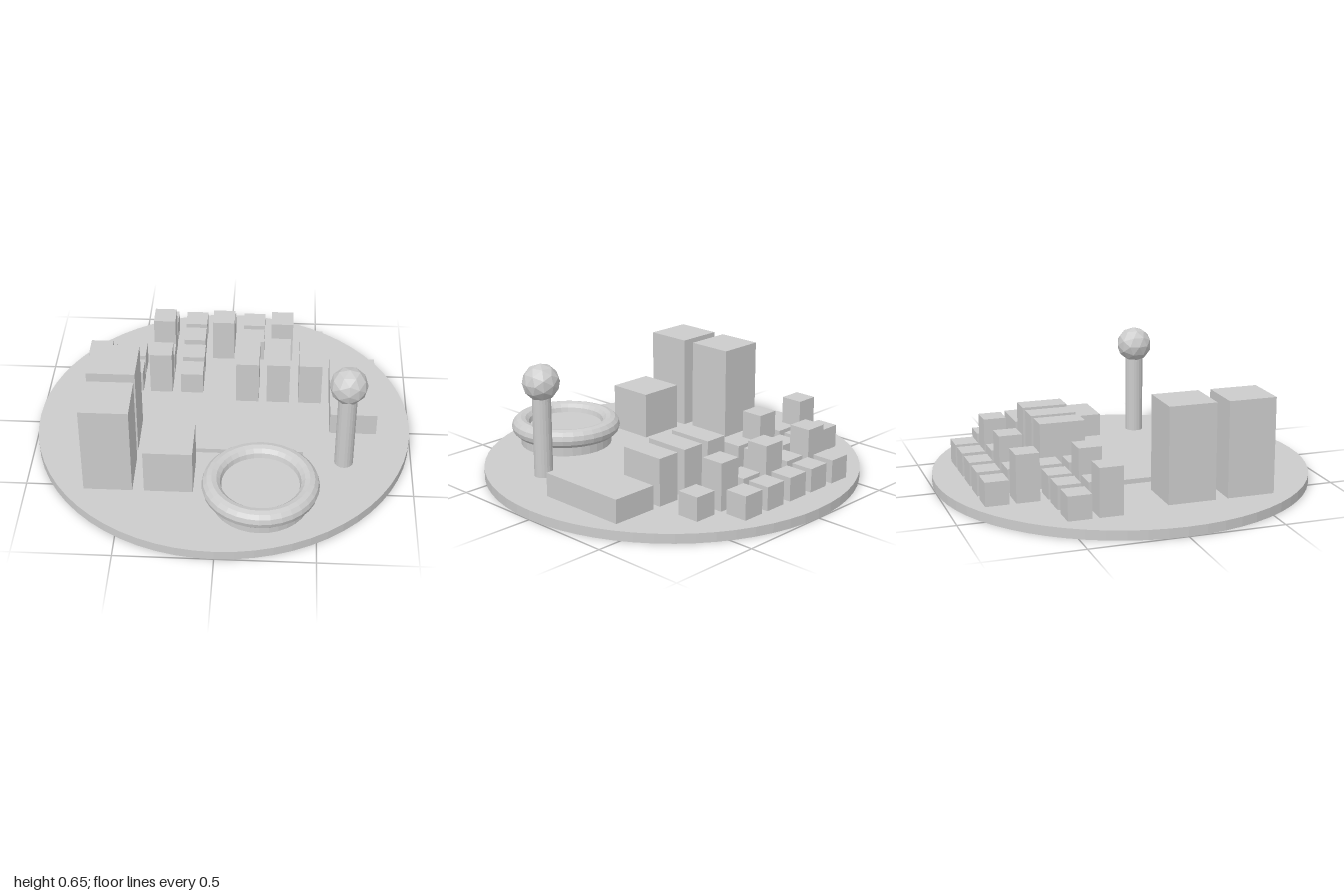
import * as THREE from 'three';

const GROUND = 0.05; // top of the base plate

export function createModel() {
  const city = new THREE.Group();
  city.name = 'cityModel';
  const material = new THREE.MeshStandardMaterial({ color: 0xcccccc, flatShading: true });

  function add(name, geometry, x, y, z) {
    const mesh = new THREE.Mesh(geometry, material);
    mesh.name = name;
    mesh.position.set(x, y, z);
    city.add(mesh);
    return mesh;
  }

  // Block standing on the plate, centred on x and z, reaching up to top
  function block(name, x, z, width, depth, top) {
    const height = top - GROUND;
    add(name, new THREE.BoxGeometry(width, height, depth), x, GROUND + height / 2, z);
  }

  // Round base plate
  add('basePlate', new THREE.CylinderGeometry(1, 1, GROUND, 64), 0, GROUND / 2, 0);

  // Large towers and the lower block beside them
  block('tower', -0.565, 0.14, 0.25, 0.25, 0.55);
  block('tower', -0.565, 0.455, 0.25, 0.25, 0.55);
  block('lowTower', -0.255, 0.455, 0.25, 0.25, 0.3);

  // Flat plaza and long hall
  block('plaza', 0.055, 0.08, 0.75, 0.375, 0.075);
  block('hall', 0.695, -0.177, 0.25, 0.5, 0.175);

  // Three slabs in a row
  for (const x of [0.12, 0.288, 0.463]) block('slabBuilding', x, -0.302, 0.125, 0.25, 0.3);

  // Rows of small houses; tall holds the indices of the higher ones
  const rows = [
    { z: -0.78, xs: [-0.365, -0.195, -0.03, 0.14, 0.302], tall: [] },
    { z: -0.623, xs: [-0.365, -0.195, -0.03, 0.14, 0.302, 0.472], tall: [0, 2, 4] },
    { z: -0.458, xs: [-0.692, -0.522, -0.36, -0.19], tall: [] },
    { z: -0.3, xs: [-0.692, -0.522, -0.36, -0.19], tall: [0, 2] },
  ];
  for (const { z, xs, tall } of rows) {
    xs.forEach((x, i) => block('house', x, z, 0.122, 0.122, tall.includes(i) ? 0.3 : 0.175));
  }

  // Arena: round drum with a ring roof
  add('arenaDrum', new THREE.CylinderGeometry(0.25, 0.25, 0.1, 32), 0.215, 0.1, 0.61);
  const ring = add('arenaRing', new THREE.TorusGeometry(0.248, 0.05, 12, 32), 0.215, 0.15, 0.61);
  ring.rotation.x = -Math.PI / 2;

  // Lookout mast with a faceted ball
  add('mast', new THREE.CylinderGeometry(0.049, 0.049, 0.5, 20), 0.642, 0.3, 0.305);
  add('mastBall', new THREE.IcosahedronGeometry(0.098, 1), 0.642, 0.555, 0.305);

  return city;
}
